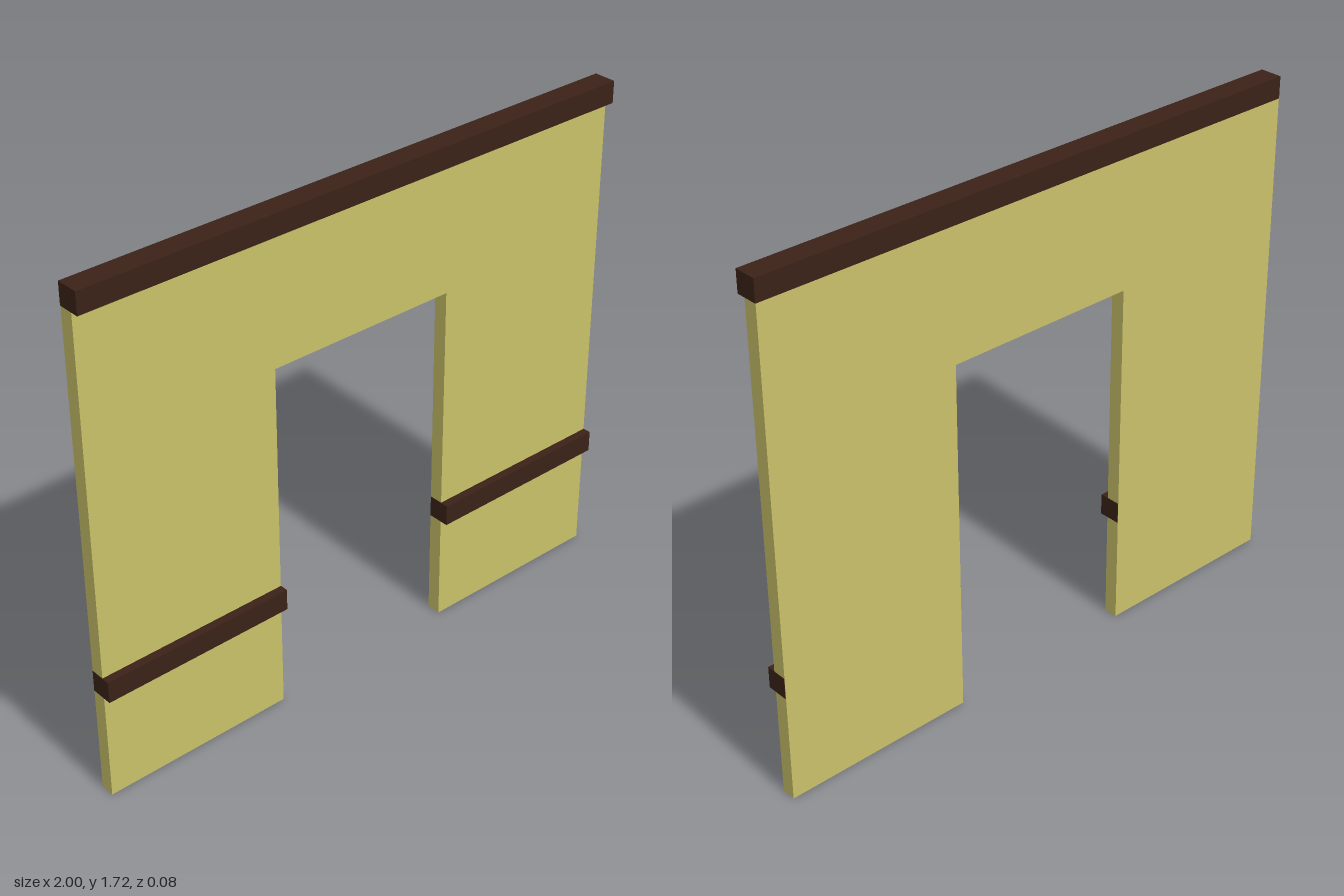
import * as THREE from 'three';

const DOOR = 0.335, DOOR_TOP = 1.215, WALL_TOP = 1.65;
const BACK = -0.038, WALL_FRONT = 0.01, TRIM_FRONT = 0.038, TRIM_H = 0.073;

export function createModel() {
  const group = new THREE.Group();
  const plaster = new THREE.MeshStandardMaterial({ color: 0xc9c16a });
  const wood = new THREE.MeshStandardMaterial({ color: 0x3b2218 });

  // Wall panel with a doorway open at the floor
  const outline = new THREE.Shape([
    [-0.999, 0], [-DOOR, 0], [-DOOR, DOOR_TOP], [DOOR, DOOR_TOP],
    [DOOR, 0], [0.999, 0], [0.999, WALL_TOP], [-0.999, WALL_TOP],
  ].map(([x, y]) => new THREE.Vector2(x, y)));
  const wall = new THREE.Mesh(
    new THREE.ExtrudeGeometry(outline, { depth: WALL_FRONT - BACK, bevelEnabled: false }), plaster);
  wall.position.z = BACK;
  wall.name = 'wall';
  group.add(wall);

  // Square timber running along x
  const addTimber = (name, x0, x1, y, back) => {
    const depth = TRIM_FRONT - back;
    const timber = new THREE.Mesh(new THREE.BoxGeometry(x1 - x0, TRIM_H, depth), wood);
    timber.position.set((x0 + x1) / 2, y + TRIM_H / 2, back + depth / 2);
    timber.name = name;
    group.add(timber);
  };

  // Top beam, and a dado rail either side of the doorway set just inside the back face
  addTimber('topBeam', -1, 1, WALL_TOP, BACK);
  addTimber('leftRail', DOOR - 0.001, 1, 0.372, BACK + 0.001);
  addTimber('rightRail', -1, -DOOR + 0.001, 0.372, BACK + 0.001);

  return group;
}
